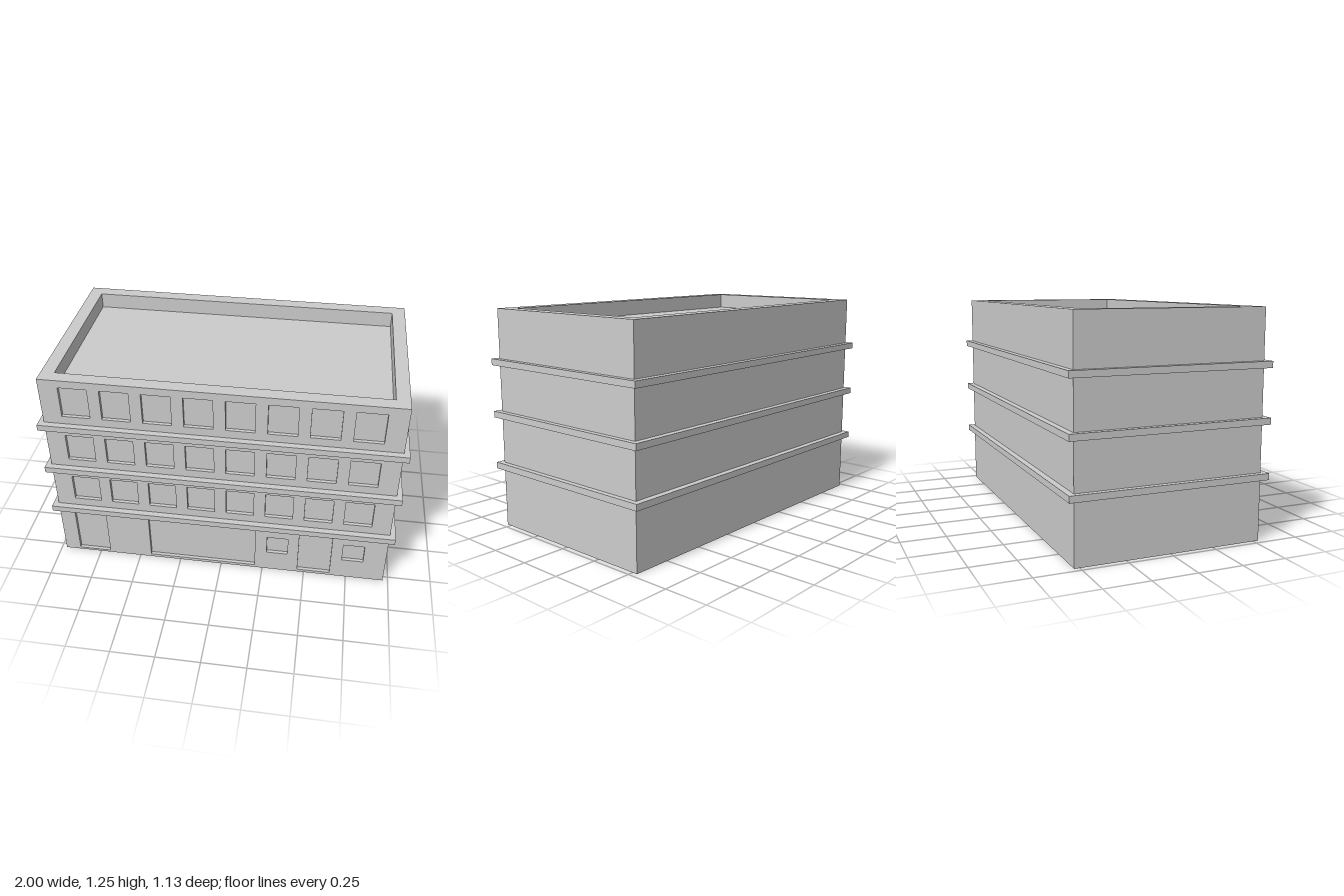
import * as THREE from 'three';

const W = 0.97, D = 0.53, H = 1.25;   // half width, half depth, height
const ROOF = 1.16;                    // roof deck level inside the parapet
const RECESS = 0.02;                  // depth of window and door recesses
const material = new THREE.MeshStandardMaterial({ color: 0xcccccc, flatShading: true });

function rect(Type, x0, x1, y0, y1) {
  const r = new Type();
  r.moveTo(x0, y0);
  r.lineTo(x1, y0);
  r.lineTo(x1, y1);
  r.lineTo(x0, y1);
  r.closePath();
  return r;
}

function addMesh(group, name, geometry, x = 0, y = 0, z = 0) {
  const mesh = new THREE.Mesh(geometry, material);
  mesh.name = name;
  mesh.position.set(x, y, z);
  group.add(mesh);
  return mesh;
}

export function createModel() {
  const building = new THREE.Group();
  building.name = 'building';

  // Main block behind the facade, up to the roof deck
  const back = 2 * D - RECESS;
  addMesh(building, 'mainBlock', new THREE.BoxGeometry(2 * W, ROOF, back), 0, ROOF / 2, -RECESS / 2);

  // Parapet ring around the roof
  const ring = rect(THREE.Shape, -W, W, -D + RECESS, D);
  ring.holes.push(rect(THREE.Path, -0.895, 0.895, -0.455, 0.455));
  const parapet = new THREE.ExtrudeGeometry(ring, { depth: H - ROOF, bevelEnabled: false });
  parapet.rotateX(-Math.PI / 2);
  addMesh(building, 'parapet', parapet, 0, ROOF, 0);

  // Front wall with openings that form shallow recesses
  const wall = rect(THREE.Shape, -W, W, 0, H);
  const open = (...r) => wall.holes.push(rect(THREE.Path, ...r));

  // Three storeys of eight windows
  for (const [y0, y1] of [[0.426, 0.592], [0.722, 0.888], [1.02, 1.205]]) {
    for (let i = 0; i < 8; i++) {
      const x = (i - 3.5) * 0.2237;
      open(x - 0.079, x + 0.079, y0, y1);
    }
  }

  // Ground floor: two doors, shop window, two small windows
  open(-0.88, -0.69, 0.014, 0.324);
  open(0.461, 0.653, 0.019, 0.324);
  open(-0.432, 0.204, 0.019, 0.324);
  open(0.274, 0.397, 0.138, 0.26);
  open(0.718, 0.841, 0.138, 0.26);

  const facade = new THREE.ExtrudeGeometry(wall, { depth: RECESS, bevelEnabled: false });
  addMesh(building, 'frontWall', facade, 0, 0, D - RECESS);

  // Ledges running all the way round between storeys
  const ledgeShape = rect(THREE.Shape, -1, 1, -0.565, 0.565);
  ledgeShape.holes.push(rect(THREE.Path, -W, W, -D, D));
  const ledge = new THREE.ExtrudeGeometry(ledgeShape, { depth: 0.036, bevelEnabled: false });
  ledge.rotateX(-Math.PI / 2);
  [0.339, 0.637, 0.935].forEach((y, i) => addMesh(building, `ledge${i + 1}`, ledge, 0, y, 0));

  return building;
}
